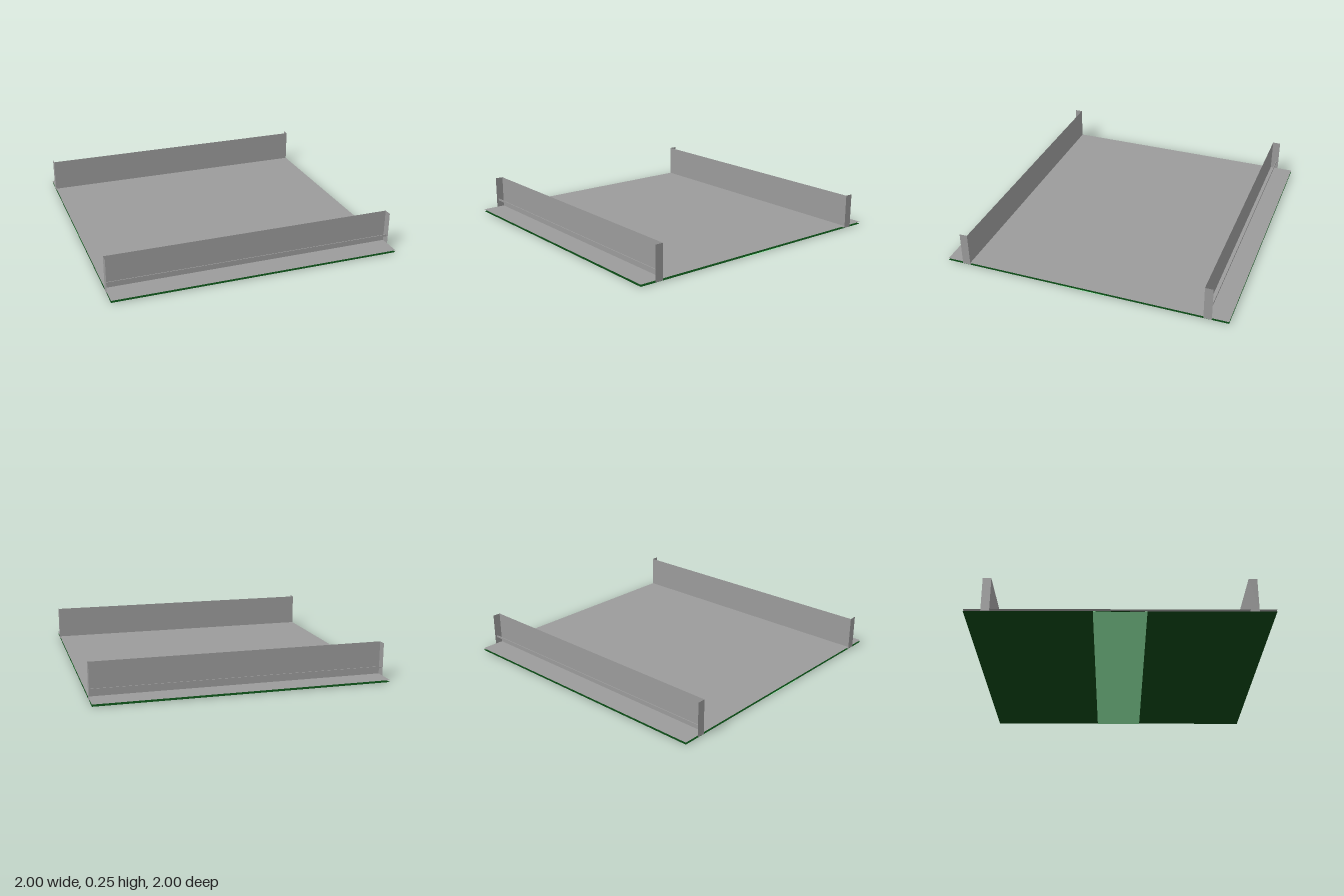
import * as THREE from 'three';

const paint = (color) => new THREE.MeshStandardMaterial({ color, side: THREE.DoubleSide });

export function createModel() {
  const group = new THREE.Group();
  const grey = paint(0x9b9b9b);
  const darkGreen = paint(0x0a4614);
  const paleGreen = paint(0x94f0a9);

  const add = (name, geometry, material, x, y, z) => {
    const mesh = new THREE.Mesh(geometry, material);
    mesh.name = name;
    mesh.position.set(x, y, z);
    group.add(mesh);
  };
  const sheet = (depth) => new THREE.PlaneGeometry(2, depth).rotateX(-Math.PI / 2);

  // Thin deck above a coloured underside with a paler central band
  add('deck', sheet(2), grey, 0, 0.018, 0);
  add('underside', sheet(2), darkGreen, 0, 0.004, 0);
  add('centreBand', sheet(0.34), paleGreen, 0, 0, 0);

  // Side walls: inner panel, end plates turned outward, thin outer rail
  const bottom = 0.005, top = 0.245, inner = 0.832, outer = 0.888;
  const height = top - bottom, middle = (top + bottom) / 2;
  for (const side of [1, -1]) {
    add('wallPanel', new THREE.PlaneGeometry(2, height), grey, 0, middle, side * inner);
    for (const end of [1, -1]) {
      const plate = new THREE.PlaneGeometry(outer - inner, height).rotateY(Math.PI / 2);
      add('endPlate', plate, grey, end, middle, side * (inner + outer) / 2);
    }
    add('outerRail', new THREE.BoxGeometry(2, 0.013, 0.005), grey, 0, 0.073, side * 0.871);

    // Slim lip along each edge of the central band
    add('bandLip', new THREE.BoxGeometry(2, 0.003, 0.016), paleGreen, 0, 0.002, side * 0.166);
  }
  return group;
}
